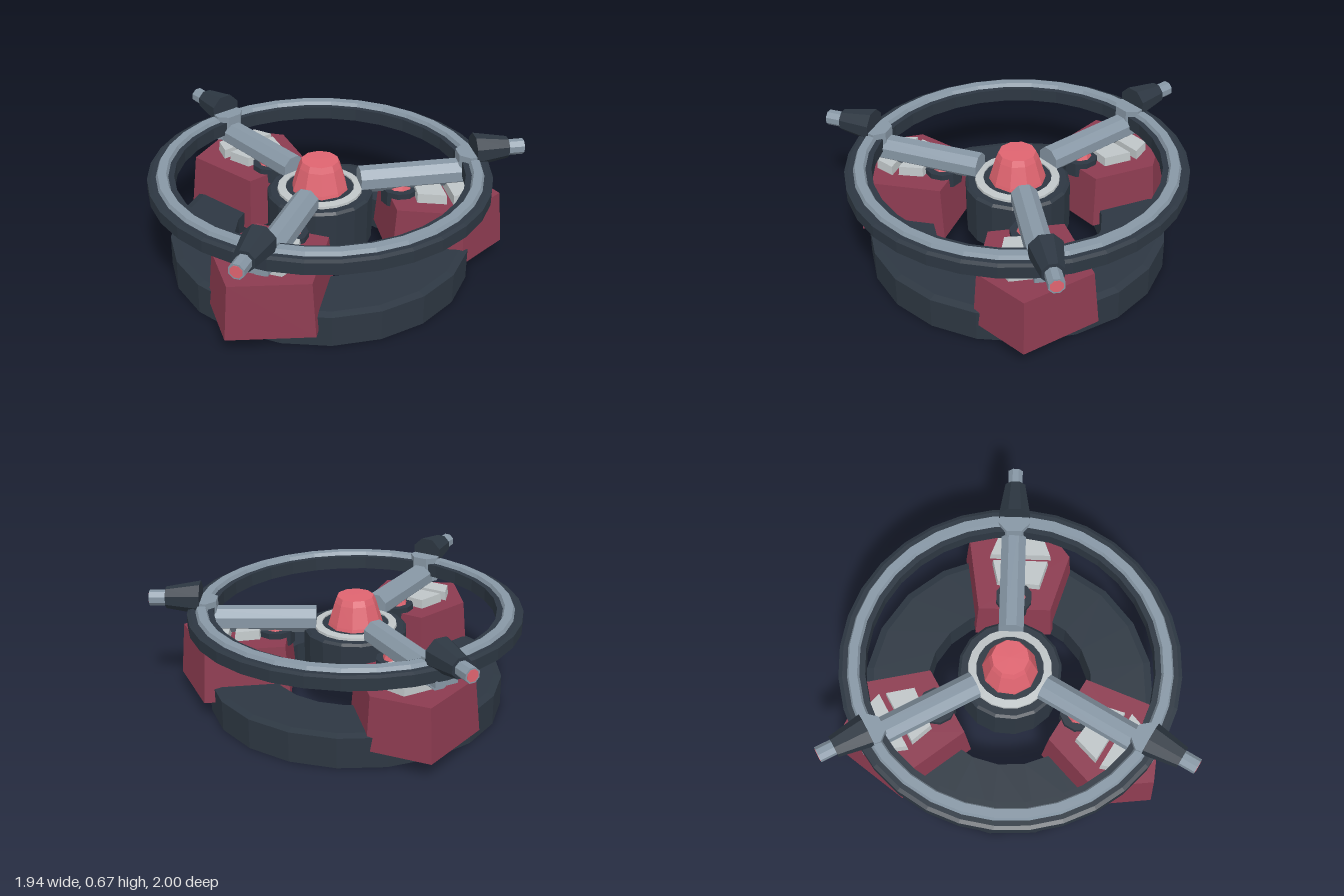
import * as THREE from 'three';

const mat = (color) => new THREE.MeshStandardMaterial({ color, flatShading: true });
const dark = mat(0x2d3742), steel = mat(0x8797a5), maroon = mat(0x8c3b50);
const pale = mat(0xbfc5c7), coral = mat(0xdf6470);

function add(parent, name, geometry, material) {
  const mesh = new THREE.Mesh(geometry, material);
  mesh.name = name;
  parent.add(mesh);
  return mesh;
}

// Turned part from [radius, height] points, outer side listed upwards
const lathe = (points, sides) =>
  new THREE.LatheGeometry(points.map(([r, y]) => new THREE.Vector2(r, y)), sides);

// Upright prism from [sideways, outward] corners; the top shrinks by taper
function prism(corners, y0, y1, taper = 1) {
  const shape = new THREE.Shape(corners.map(([u, r]) => new THREE.Vector2(u, r)));
  const geo = new THREE.ExtrudeGeometry(shape, { depth: y1 - y0, bevelEnabled: false });
  const cu = corners.reduce((s, c) => s + c[0], 0) / corners.length;
  const cr = corners.reduce((s, c) => s + c[1], 0) / corners.length;
  const p = geo.attributes.position;
  for (let i = 0; i < p.count; i++) {
    if (p.getZ(i) > 0.001) {
      p.setXY(i, cu + (p.getX(i) - cu) * taper, cr + (p.getY(i) - cr) * taper);
    }
  }
  geo.rotateX(-Math.PI / 2).translate(0, y0, 0);
  return geo;
}

// Octagonal bar lying outward (-z) between two distances from the centre
function bar(r0, r1, rad0, rad1, y) {
  return new THREE.CylinderGeometry(rad1, rad0, r1 - r0, 8)
    .rotateY(Math.PI / 8)
    .rotateX(-Math.PI / 2)
    .translate(0, y, -(r0 + r1) / 2);
}

function createArm() {
  const arm = new THREE.Group();
  arm.name = 'arm';

  // Five-sided housing resting across the base ring
  add(arm, 'housing', prism(
    [[-0.27, 0.8], [0.13, 0.975], [0.335, 0.7], [0.225, 0.345], [-0.2, 0.345]],
    0.09, 0.38, 0.92), maroon);

  // Plates on top of the housing
  add(arm, 'innerPlate', prism(
    [[-0.115, 0.64], [0.195, 0.64], [0.15, 0.49], [-0.085, 0.51]], 0.375, 0.43, 0.96), pale);
  add(arm, 'outerPlate', prism(
    [[-0.13, 0.67], [0.21, 0.67], [0.17, 0.78], [-0.09, 0.78]], 0.375, 0.43, 0.96), pale);

  // Small button in its socket
  add(arm, 'buttonSocket', new THREE.CylinderGeometry(0.1, 0.1, 0.08, 10), dark)
    .position.set(0.01, 0.37, -0.43);
  add(arm, 'button', new THREE.CylinderGeometry(0.055, 0.07, 0.04, 8), coral)
    .position.set(0.01, 0.415, -0.43);

  // Spoke, and the bracket that clasps the wheel rim
  add(arm, 'spoke', bar(0.21, 0.83, 0.072, 0.072, 0.465), steel);
  add(arm, 'rimBracket', prism(
    [[-0.065, 0.74], [0.065, 0.74], [0.065, 0.89], [-0.065, 0.89]], 0.445, 0.48), steel);
  add(arm, 'rimJoint', prism(
    [[-0.04, 0.74], [0.04, 0.74], [0.085, 0.79], [0.075, 0.84], [-0.075, 0.84], [-0.085, 0.79]],
    0.44, 0.58), steel);

  // Tapered grip with a pin and coloured tip
  add(arm, 'grip', bar(0.825, 1.01, 0.09, 0.058, 0.587), dark);
  add(arm, 'pin', bar(1.0, 1.098, 0.042, 0.042, 0.585), steel);
  add(arm, 'pinTip', bar(1.09, 1.1, 0.033, 0.033, 0.585), coral);
  return arm;
}

export function createModel() {
  const model = new THREE.Group();
  model.name = 'valveWheel';
  const body = new THREE.Group();
  body.name = 'body';
  body.position.z = 0.1;
  model.add(body);

  // Thick base ring
  add(body, 'baseRing', lathe(
    [[0.455, 0], [0.795, 0], [0.795, 0.165], [0.755, 0.175], [0.455, 0.175], [0.455, 0]], 20), dark);

  // Central hub with trim rings and a tapered cap
  add(body, 'hub', lathe([[0, 0.16], [0.277, 0.16], [0.277, 0.42], [0.262, 0.432], [0, 0.432]], 16), dark);
  add(body, 'hubTrim', lathe([[0.225, 0.42], [0.222, 0.445], [0.18, 0.45], [0.18, 0.42]], 20), pale);
  add(body, 'capSeat', lathe([[0.18, 0.42], [0.18, 0.442], [0, 0.442]], 20), dark);
  add(body, 'cap', lathe([[0.152, 0.43], [0.145, 0.46], [0.112, 0.57], [0.098, 0.602], [0, 0.604]], 10), coral);

  // Wheel rim with a raised band on top
  add(body, 'wheelRim', lathe(
    [[0.755, 0.475], [0.895, 0.475], [0.895, 0.538], [0.875, 0.547], [0.755, 0.547], [0.755, 0.475]], 32), dark);
  add(body, 'rimBand', lathe(
    [[0.853, 0.54], [0.84, 0.567], [0.795, 0.567], [0.782, 0.54]], 32), steel);

  // Three matching arms around the hub
  for (let i = 0; i < 3; i++) {
    const arm = createArm();
    arm.rotation.y = (i * Math.PI * 2) / 3;
    body.add(arm);
  }
  return model;
}
